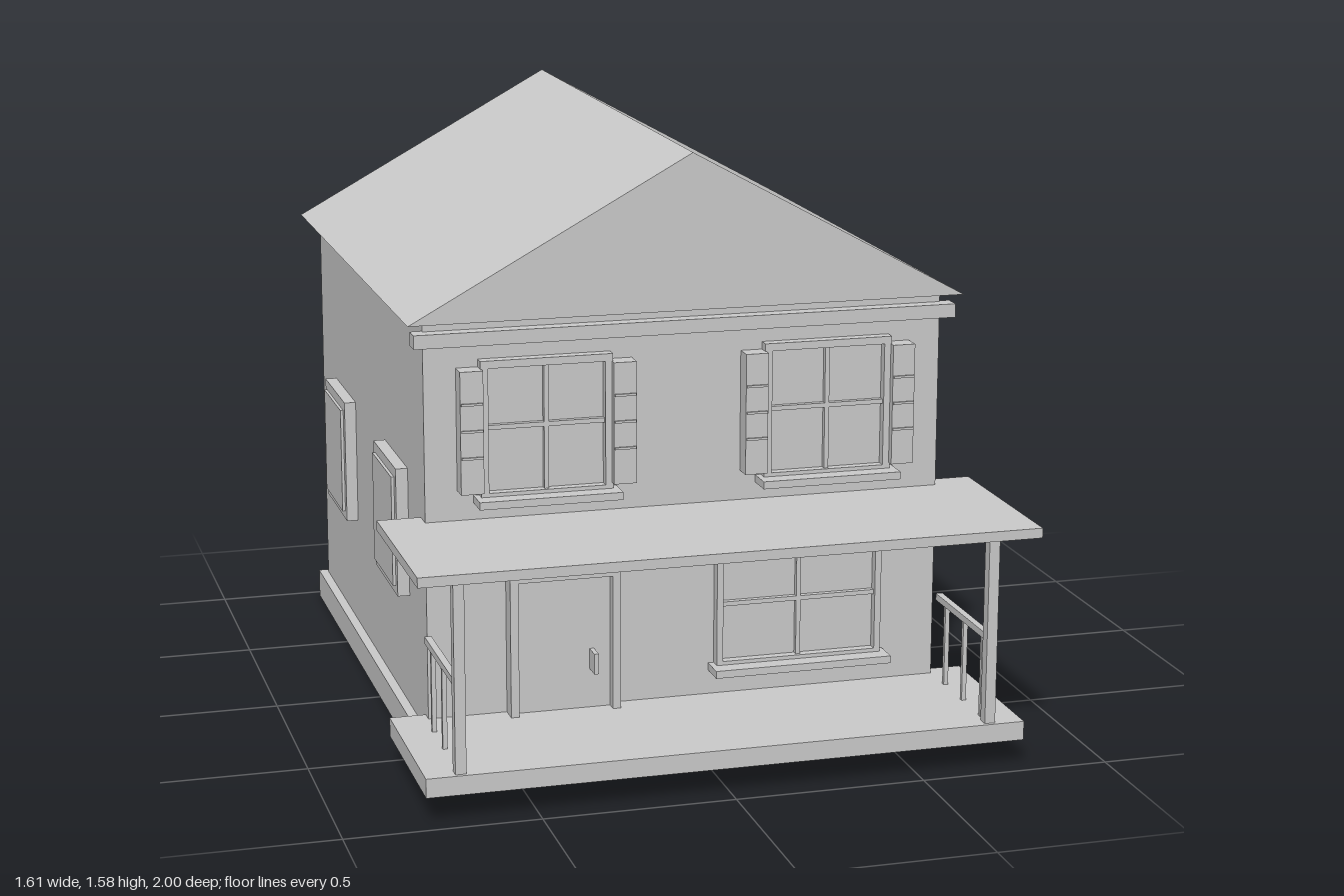
import * as THREE from 'three';

const material = new THREE.MeshStandardMaterial({ color: 0xcccccc, flatShading: true });

function add(parent, name, geometry) {
  const mesh = new THREE.Mesh(geometry, material);
  mesh.name = name;
  parent.add(mesh);
  return mesh;
}

// Box given by its extents along each axis
function box(parent, name, [x0, x1], [y0, y1], [z0, z1]) {
  const mesh = add(parent, name, new THREE.BoxGeometry(x1 - x0, y1 - y0, z1 - z0));
  mesh.position.set((x0 + x1) / 2, (y0 + y1) / 2, (z0 + z1) / 2);
  return mesh;
}

function group(parent, name) {
  const g = new THREE.Group();
  g.name = name;
  parent.add(g);
  return g;
}

const WALL = 0.54; // front wall plane

// Window with frame, pane, crossing bars and sill on the front wall
function frontWindow(parent, name, cx, halfW, y0, y1, rim) {
  const g = group(parent, name);
  const l = cx - halfW, r = cx + halfW, mid = (y0 + y1) / 2 + 0.002;
  const depth = [WALL, 0.57], bar = [WALL, 0.56];
  box(g, 'pane', [l + rim, r - rim], [y0 + 0.01, y1 - rim], [WALL, 0.545]);
  box(g, 'frameLeft', [l, l + rim], [y0, y1], depth);
  box(g, 'frameRight', [r - rim, r], [y0, y1], depth);
  box(g, 'frameTop', [l + rim, r - rim], [y1 - rim, y1], depth);
  box(g, 'frameBottom', [l + rim, r - rim], [y0, y0 + 0.01], depth);
  box(g, 'uprightBar', [cx - 0.006, cx + 0.006], [y0 + 0.01, y1 - rim], bar);
  box(g, 'crossBar', [l + rim, r - rim], [mid - 0.006, mid + 0.006], bar);
  box(g, 'sill', [l - 0.015, r + 0.015], [y0 - 0.02, y0], [WALL, 0.615]);
  return g;
}

export function createModel() {
  const house = new THREE.Group();
  house.name = 'house';

  // Main body
  box(house, 'foundation', [-0.715, 0.715], [0, 0.08], [-0.965, 0.565]);
  box(house, 'walls', [-0.69, 0.69], [0.08, 1.172], [-0.945, WALL]);
  box(house, 'frieze', [-0.72, 0.72], [1.107, 1.143], [0.53, 0.578]);

  // Gable roof
  const gable = new THREE.Shape([
    new THREE.Vector2(-0.737, 1.17),
    new THREE.Vector2(0.737, 1.17),
    new THREE.Vector2(0, 1.575),
  ]);
  const roof = add(house, 'roof',
    new THREE.ExtrudeGeometry(gable, { depth: 1.592, bevelEnabled: false }));
  roof.position.z = -1;

  // Porch
  const porch = group(house, 'porch');
  box(porch, 'porchFloor', [-0.785, 0.785], [0.07, 0.12], [0.505, 0.965]);
  box(porch, 'porchRoof', [-0.805, 0.805], [0.62, 0.646], [0.485, 1]);
  box(porch, 'porchLedger', [-0.7, 0.7], [0.605, 0.62], [0.53, 0.578]);
  box(porch, 'step', [-0.52, -0.15], [0, 0.067], [0.585, 0.785]);
  for (const s of [-1, 1]) {
    const x = s * 0.695;
    box(porch, 'post', [x - 0.014, x + 0.014], [0.12, 0.62], [0.925, 0.955]);
    box(porch, 'handrail', [x - 0.009, x + 0.009], [0.337, 0.355], [0.575, 0.93]);
    for (const z of [0.635, 0.765, 0.895])
      box(porch, 'baluster', [x - 0.006, x + 0.006], [0.12, 0.337], [z - 0.006, z + 0.006]);
  }

  // Door
  const door = group(house, 'door');
  box(door, 'doorPanel', [-0.46, -0.21], [0.12, 0.48], [WALL, 0.56]);
  box(door, 'doorFrameRight', [-0.482, -0.46], [0.12, 0.51], [WALL, 0.59]);
  box(door, 'doorFrameLeft', [-0.21, -0.188], [0.12, 0.51], [WALL, 0.59]);
  box(door, 'doorFrameTop', [-0.46, -0.21], [0.48, 0.51], [WALL, 0.59]);
  box(door, 'doorHandle', [-0.265, -0.253], [0.225, 0.28], [0.56, 0.61]);

  // Front windows, the upper pair with slatted shutters
  frontWindow(house, 'lowerWindow', 0.305, 0.227, 0.205, 0.53, 0.017);
  for (const s of [-1, 1]) {
    const cx = s * 0.376;
    const g = frontWindow(house, 'upperWindow', cx, 0.173, 0.71, 1.065, 0.02);
    for (const side of [-1, 1]) {
      const x = cx + side * 0.2;
      box(g, 'shutter', [x - 0.03, x + 0.03], [0.725, 1.045], [WALL, 0.59]);
      for (const y of [0.82, 0.89, 0.96])
        box(g, 'shutterSlat', [x - 0.028, x + 0.028], [y - 0.003, y + 0.003], [0.59, 0.595]);
    }
  }

  // Side windows
  for (const s of [-1, 1]) {
    for (const z of [0.168, -0.572]) {
      const g = group(house, 'sideWindow');
      const span = (a, b) => [Math.min(s * a, s * b), Math.max(s * a, s * b)];
      box(g, 'frame', span(0.69, 0.722), [0.387, 0.733], [z - 0.153, z + 0.153]);
      box(g, 'pane', span(0.722, 0.73), [0.41, 0.706], [z - 0.13, z + 0.13]);
    }
  }

  // Back windows
  for (const cx of [-0.375, 0.375]) {
    const g = group(house, 'backWindow');
    box(g, 'casing', [cx - 0.145, cx + 0.145], [0.3, 0.6], [-0.96, -0.945]);
    box(g, 'frame', [cx - 0.16, cx + 0.16], [0.285, 0.615], [-0.985, -0.96]);
    box(g, 'sill', [cx - 0.17, cx + 0.17], [0.27, 0.285], [-0.988, -0.945]);
  }

  return house;
}
